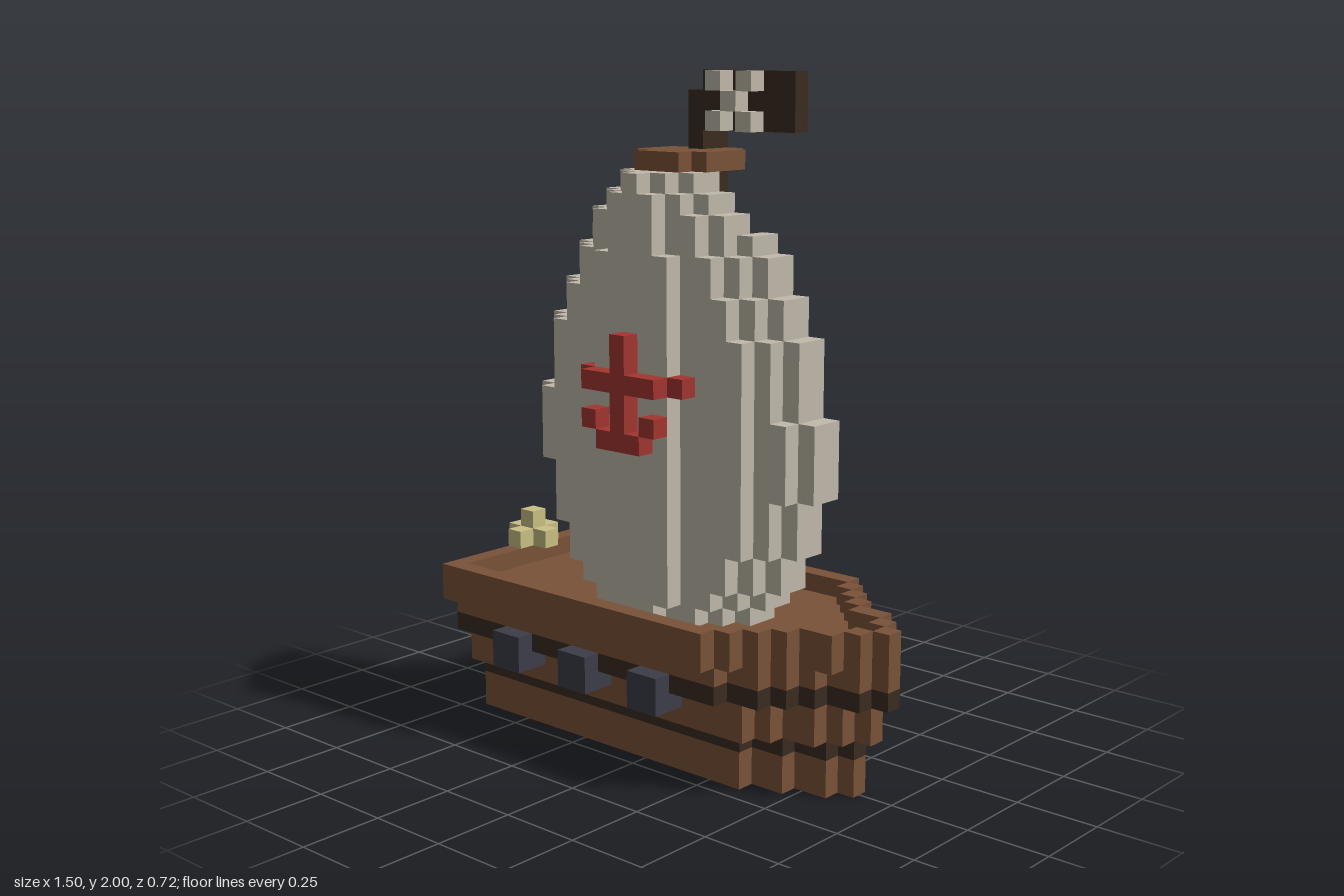
import * as THREE from 'three';

// Everything sits on one grid of small cubes: 27 wide, 36 high, 13 deep.
const V = 2 / 36;
const MID_X = 13, MID_Z = 6;

const COLORS = {
  wood: 0x7a5238, darkWood: 0x3a2b20, canvas: 0xc0b9ab,
  red: 0xa33530, iron: 0x3c3d48, gold: 0xc9c084,
};

// The six cube faces: outward normal and two edge directions (u x v = normal).
const FACES = [
  [[1, 0, 0], [0, 1, 0], [0, 0, 1]], [[-1, 0, 0], [0, 0, 1], [0, 1, 0]],
  [[0, 1, 0], [0, 0, 1], [1, 0, 0]], [[0, -1, 0], [1, 0, 0], [0, 0, 1]],
  [[0, 0, 1], [1, 0, 0], [0, 1, 0]], [[0, 0, -1], [0, 1, 0], [1, 0, 0]],
];

// Mesh the cubes of one part, leaving out faces covered by any neighbour.
function cubeGeometry(cells, solid) {
  const pos = [], nor = [], idx = [];
  for (const c of cells) {
    for (const [n, u, v] of FACES) {
      if (solid.has(c.map((a, i) => a + n[i]).join())) continue;
      const base = pos.length / 3;
      for (const [s, t] of [[-1, -1], [1, -1], [1, 1], [-1, 1]]) {
        const p = c.map((a, i) => a + (n[i] + s * u[i] + t * v[i]) / 2);
        pos.push((p[0] - MID_X) * V, (p[1] + 0.5) * V, (p[2] - MID_Z) * V);
        nor.push(...n);
      }
      idx.push(base, base + 1, base + 2, base, base + 2, base + 3);
    }
  }
  const g = new THREE.BufferGeometry();
  g.setAttribute('position', new THREE.Float32BufferAttribute(pos, 3));
  g.setAttribute('normal', new THREE.Float32BufferAttribute(nor, 3));
  g.setIndex(idx);
  return g;
}

export function createModel() {
  const solid = new Set();
  const parts = {};

  const put = (name, color, x, y, z) => {
    const key = [x, y, z].join();
    if (solid.has(key)) return;
    solid.add(key);
    (parts[name] ??= { color, cells: [] }).cells.push([x, y, z]);
  };
  // Inclusive block of cubes.
  const block = (name, color, x0, x1, y0, y1, z0, z1) => {
    for (let x = x0; x <= x1; x++)
      for (let y = y0; y <= y1; y++)
        for (let z = z0; z <= z1; z++) put(name, color, x, y, z);
  };

  // Hull tiers: layers, half width amidships, half widths along the bow.
  const tiers = [
    { from: 0, to: 2, half: 3, bow: [2, 2, 1, 1, 0] },
    { from: 3, to: 4, half: 4, bow: [4, 3, 2, 2, 1, 0] },
    { from: 5, to: 6, half: 5, bow: [4, 4, 3, 2, 1, 1, 0] },
    { from: 7, to: 8, half: 6, bow: [5, 4, 3, 2, 2, 1, 0] },
  ];
  for (const { from, to, half, bow } of tiers) {
    const halfAt = (x) => (x < 1 ? -1 : x < 20 ? half : bow[x - 20] ?? -1);
    for (let y = from; y <= to; y++) {
      const stripe = y === 2 || y === 5;
      for (let x = 1; x < 20 + bow.length; x++) {
        const h = halfAt(x);
        for (let d = -h; d <= h; d++) {
          const a = Math.abs(d);
          const edge = a === h || a > halfAt(x - 1) || a > halfAt(x + 1);
          if (y === 8 && !edge) continue; // open deck inside the rail
          const name = y === 8 ? 'rail' : stripe ? 'hullStripes' : 'hull';
          put(name, stripe ? 'darkWood' : 'wood', x, y, MID_Z + d);
        }
      }
    }
  }

  // Cannons along the front side
  for (const x of [5, 10, 15]) block('cannons', 'iron', x, x + 1, 4, 5, 11, 12);

  // Stern lantern
  block('sternLantern', 'gold', 0, 2, 9, 9, 6, 6);
  block('sternLantern', 'gold', 1, 1, 9, 9, 5, 7);
  put('sternLantern', 'gold', 1, 10, 6);

  // Mast, lookout platform and flag
  block('mast', 'darkWood', 13, 13, 8, 34, 4, 5);
  block('lookout', 'wood', 12, 14, 31, 31, 4, 8);
  block('lookout', 'wood', 11, 15, 31, 31, 5, 7);
  block('flag', 'darkWood', 14, 19, 33, 35, 5, 5);
  for (const [x, y] of [[15, 33], [17, 33], [16, 34], [15, 35], [17, 35]])
    put('flagEmblem', 'canvas', x, y, 6);

  // Billowing sail, two cubes thick: half width of each row from the deck up
  const rows = [5, 6, 7, 7, 8, 8, 8, 9, 9, 9, 9, 8, 8, 8, 8, 7, 7, 6, 6, 5, 4, 3, 2];
  rows.forEach((w, r) => {
    for (let d = -w; d <= w; d++) {
      const t = d / (w + 0.5);
      const front = MID_Z + Math.floor(4 * Math.sqrt(1 - t * t) + 0.2);
      block('sail', 'canvas', MID_X + d, MID_X + d, 8 + r, 8 + r, front - 1, front);
    }
  });

  // Anchor emblem on the sail
  block('anchorEmblem', 'red', 13, 13, 17, 22, 11, 11);
  block('anchorEmblem', 'red', 11, 15, 20, 20, 11, 11);
  block('anchorEmblem', 'red', 12, 14, 17, 17, 11, 11);
  for (const s of [-1, 1]) {
    put('anchorEmblem', 'red', MID_X + 3 * s, 20, 10);
    put('anchorEmblem', 'red', MID_X + 2 * s, 18, 11);
  }

  const materials = {};
  for (const [name, color] of Object.entries(COLORS)) {
    materials[name] = new THREE.MeshStandardMaterial({ color });
    materials[name].name = name;
  }
  const model = new THREE.Group();
  model.name = 'sailingShip';
  for (const [name, { color, cells }] of Object.entries(parts)) {
    const mesh = new THREE.Mesh(cubeGeometry(cells, solid), materials[color]);
    mesh.name = name;
    model.add(mesh);
  }
  return model;
}
